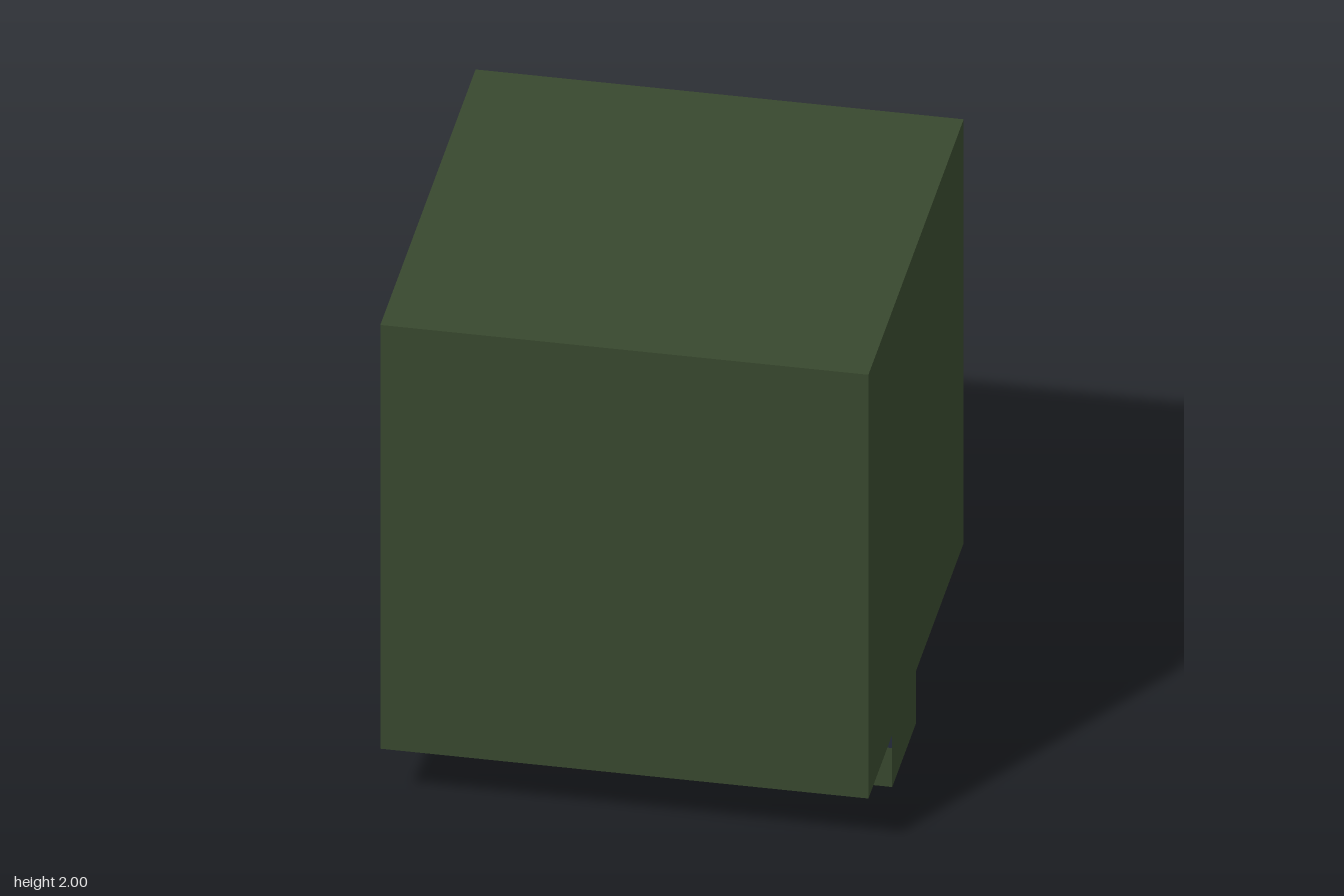
import * as THREE from 'three';

const FLOOR = 0.22;      // underside of the main block
const CEILING = 0.395;   // top of the pockets cut into the underside

function makeMaterial(name, color) {
  const m = new THREE.MeshStandardMaterial({ color });
  m.name = name;
  return m;
}

function addMesh(parent, name, geometry, material, x = 0, y = 0, z = 0) {
  const mesh = new THREE.Mesh(geometry, material);
  mesh.name = name;
  mesh.position.set(x, y, z);
  parent.add(mesh);
  return mesh;
}

// Box with some faces left out (0..5 = +x -x +y -y +z -z), optionally facing inward
function openBox(w, h, d, skip, inward = false) {
  const geo = new THREE.BoxGeometry(w, h, d);
  const src = Array.from(geo.index.array);
  const index = src.filter((_, i) => !skip.includes(Math.floor(i / 6)));
  geo.setIndex(inward ? index.reverse() : index);
  geo.clearGroups();
  const out = geo.toNonIndexed();
  out.computeVertexNormals();
  return out;
}

function rectPath(r) {
  return new THREE.Path([
    new THREE.Vector2(r.x0, r.z0), new THREE.Vector2(r.x0, r.z1),
    new THREE.Vector2(r.x1, r.z1), new THREE.Vector2(r.x1, r.z0),
  ]).closePath();
}

export function createModel() {
  const model = new THREE.Group();
  model.name = 'blockModel';
  const green = makeMaterial('dark green', 0x38482e);
  const navy = makeMaterial('navy', 0x242b3b);
  const blue = makeMaterial('steel blue', 0x38647a);

  const pockets = [
    { name: 'frontPocket', x0: -0.72, x1: 0.72, z0: 0.08, z1: 0.79 },
    { name: 'backPocket', x0: 0.22, x1: 0.63, z0: -0.83, z1: -0.18 },
  ];

  // Main block, closed below by an underside with two openings
  addMesh(model, 'mainBlock', openBox(1.78, 1.78, 1.78, [3]), green, 0, FLOOR + 0.89, 0);
  const under = new THREE.Shape([
    new THREE.Vector2(-0.89, -0.89), new THREE.Vector2(0.89, -0.89),
    new THREE.Vector2(0.89, 0.89), new THREE.Vector2(-0.89, 0.89),
  ]);
  pockets.forEach((p) => under.holes.push(rectPath(p)));
  addMesh(model, 'underside', new THREE.ShapeGeometry(under).rotateX(Math.PI / 2), green, 0, FLOOR, 0);

  // Pocket walls and dark ceilings
  pockets.forEach((p) => {
    const w = p.x1 - p.x0, d = p.z1 - p.z0, h = CEILING - FLOOR;
    const x = (p.x0 + p.x1) / 2, z = (p.z0 + p.z1) / 2;
    addMesh(model, p.name + 'Walls', openBox(w, h, d, [2, 3], true), green, x, FLOOR + h / 2, z);
    addMesh(model, p.name + 'Ceiling', new THREE.PlaneGeometry(w, d).rotateX(Math.PI / 2), navy, x, CEILING, z);
  });

  // U-shaped bracket hanging below the block
  const bracket = new THREE.Shape([
    [-0.89, 0], [0.89, 0], [0.89, 0.445], [0.72, 0.445],
    [0.72, 0.08], [-0.72, 0.08], [-0.72, 0.445], [-0.89, 0.445],
  ].map(([x, z]) => new THREE.Vector2(x, z)));
  const bracketGeo = new THREE.ExtrudeGeometry(bracket, { depth: FLOOR, bevelEnabled: false });
  addMesh(model, 'bracket', bracketGeo.rotateX(Math.PI / 2), green, 0, FLOOR, 0);

  // Slab between the bracket arms with a blue underside
  addMesh(model, 'slab', new THREE.BoxGeometry(1.44, 0.041, 0.31), green, 0, 0.0595, 0.235);
  addMesh(model, 'slabPanel', new THREE.BoxGeometry(1.44, 0.004, 0.31), blue, 0, 0.037, 0.235);

  // Navy patch with a rounded corner on the front of the left arm
  const patch = new THREE.Shape();
  patch.moveTo(0.72, FLOOR);
  patch.lineTo(0.72, 0.195);
  patch.quadraticCurveTo(0.76, 0.168, 0.81, 0.165);
  patch.lineTo(0.89, 0.165);
  patch.lineTo(0.89, FLOOR);
  addMesh(model, 'armPatch', new THREE.ShapeGeometry(patch), navy, 0, 0, 0.447);

  return model;
}
